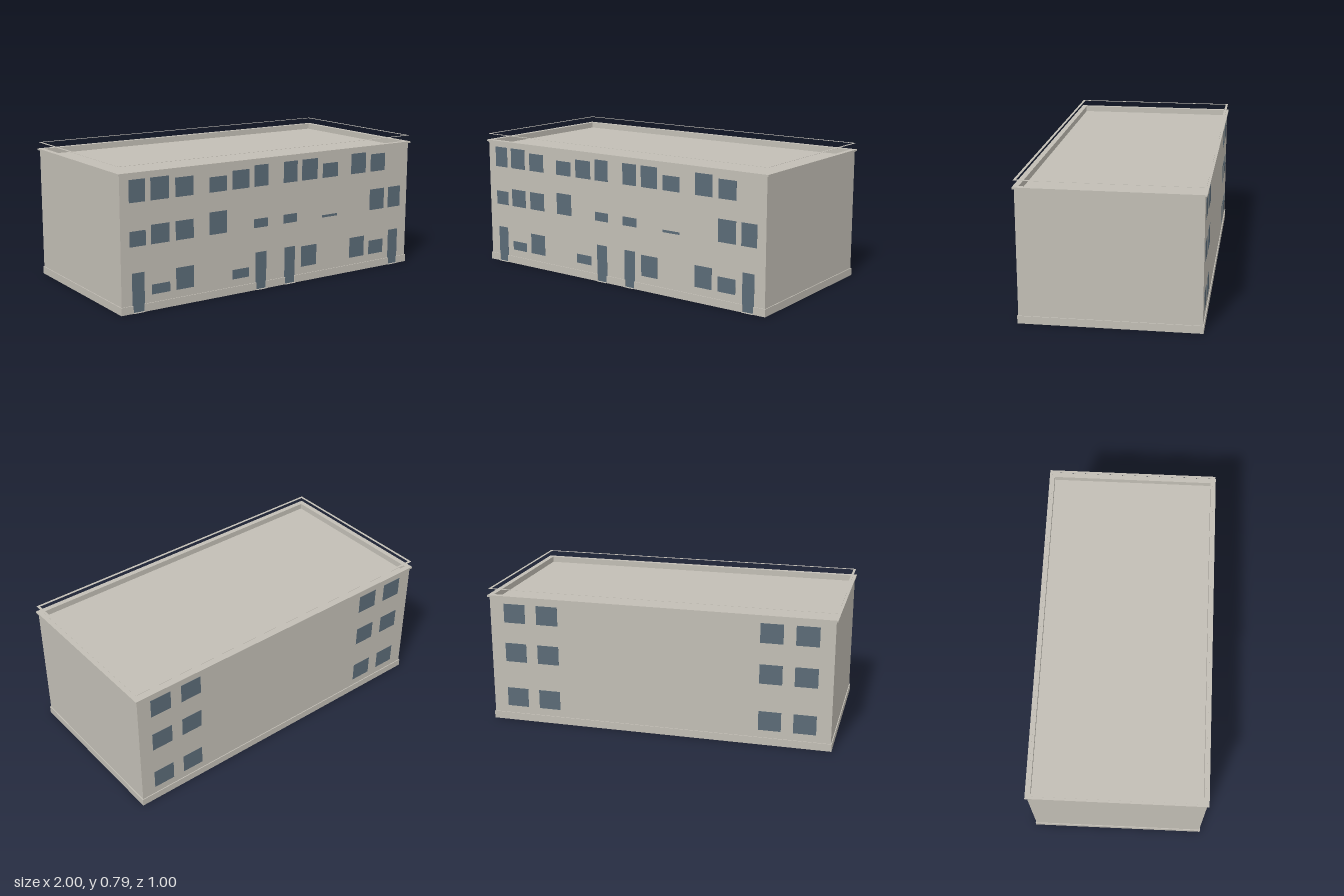
import * as THREE from 'three';

export function createModel() {
  const model = new THREE.Group();
  model.name = 'building';
  const concrete = new THREE.MeshStandardMaterial({ name: 'warm grey concrete', color: 0xc2beb5, side: THREE.DoubleSide });
  const glass = new THREE.MeshStandardMaterial({ name: 'blue grey glass', color: 0x5b6b77 });

  function add(name, geometry, material = concrete) {
    const mesh = new THREE.Mesh(geometry, material);
    mesh.name = name;
    model.add(mesh);
    return mesh;
  }

  // Box given by its limits on each axis
  function block(name, [x0, x1], [y0, y1], [z0, z1], material) {
    add(name, new THREE.BoxGeometry(x1 - x0, y1 - y0, z1 - z0), material)
      .position.set((x0 + x1) / 2, (y0 + y1) / 2, (z0 + z1) / 2);
  }

  // Flat rectangular ring lying between two heights
  function ring(name, hx, hz, width, y0, y1) {
    const rect = (Type, x, z) => new Type([[-x, -z], [x, -z], [x, z], [-x, z]].map(p => new THREE.Vector2(...p)));
    const shape = rect(THREE.Shape, hx, hz);
    shape.holes.push(rect(THREE.Path, hx - width, hz - width));
    const geometry = new THREE.ExtrudeGeometry(shape, { depth: y1 - y0, bevelEnabled: false });
    add(name, geometry.rotateX(-Math.PI / 2).translate(0, y0, 0));
  }

  const wallX = 0.99, wallZ = 0.49, roofY = 0.72;
  const plinthX = 0.995, plinthZ = 0.495, plinthY = [0, 0.043];

  // Hollow shell, open underneath: four thin walls and a sunken flat roof
  ['frontWall', 'leftWall', 'backWall', 'rightWall'].forEach((name, i) => {
    const [width, distance] = i % 2 ? [2 * wallZ, wallX] : [2 * wallX, wallZ];
    const wall = new THREE.PlaneGeometry(width, roofY).translate(0, roofY / 2, distance);
    add(name, wall.rotateY(i * Math.PI / 2));
  });
  add('roof', new THREE.PlaneGeometry(2 * wallX, 2 * wallZ).rotateX(-Math.PI / 2).translate(0, roofY, 0));

  // Parapet, coping and thin rail
  ring('parapet', wallX, wallZ, 0.02, roofY, 0.744);
  ring('coping', 1, 0.5, 0.03, 0.744, 0.754);
  ring('roofRail', 0.994, 0.494, 0.014, 0.79, 0.791);

  // Doors, with thresholds, and a plinth that stops at each door
  const doors = [[-0.926, -0.852], [-0.139, -0.065], [0.063, 0.137], [0.85, 0.924]];
  const lap = 0.004;
  let start = -plinthX;
  for (const door of doors) {
    block('door', door, [0.003, 0.218], [wallZ, wallZ + 0.0008], glass);
    block('threshold', [door[0] + lap, door[1] - lap], [0, 0.003], [wallZ, 0.5]);
    block('frontPlinth', [start, door[0] + lap], plinthY, [wallZ, plinthZ]);
    start = door[1] - lap;
  }
  block('frontPlinth', [start, plinthX], plinthY, [wallZ, plinthZ]);
  block('backPlinth', [-plinthX, plinthX], plinthY, [-plinthZ, -wallZ]);
  block('leftPlinth', [wallX, plinthX], plinthY, [-wallZ, wallZ]);
  block('rightPlinth', [-plinthX, -wallX], plinthY, [-wallZ, wallZ]);

  // Front window columns as x ranges
  const columns = [
    [-0.936, -0.84], [-0.808, -0.696], [-0.658, -0.546], [-0.444, -0.332],
    [-0.295, -0.183], [-0.15, -0.054], [0.052, 0.149], [0.182, 0.294],
    [0.332, 0.444], [0.545, 0.657], [0.695, 0.807], [0.84, 0.936],
  ];
  // Sill height and the top of the glass in each column (0 = no window)
  const floors = [
    { sill: 0.086, tops: [0, 0.14, 0.208, 0, 0.14, 0, 0, 0.208, 0, 0.208, 0.17, 0] },
    { sill: 0.36, tops: [0.443, 0.465, 0.465, 0.486, 0, 0.411, 0.411, 0, 0.374, 0, 0.486, 0.486] },
    { sill: 0.595, tops: [0.716, 0.716, 0.7, 0.679, 0.7, 0.716, 0.716, 0.716, 0.679, 0.716, 0.7, 0] },
  ];
  for (const { sill, tops } of floors) {
    tops.forEach((top, i) => {
      if (top) block('frontWindow', columns[i], [sill, top], [wallZ, wallZ + 0.0008], glass);
    });
    // Two equal windows at each end of the back wall
    for (const x of [-0.843, -0.647, 0.647, 0.843]) {
      block('backWindow', [x - 0.064, x + 0.064], [sill, sill + 0.112], [-wallZ - 0.0008, -wallZ], glass);
    }
  }
  return model;
}
